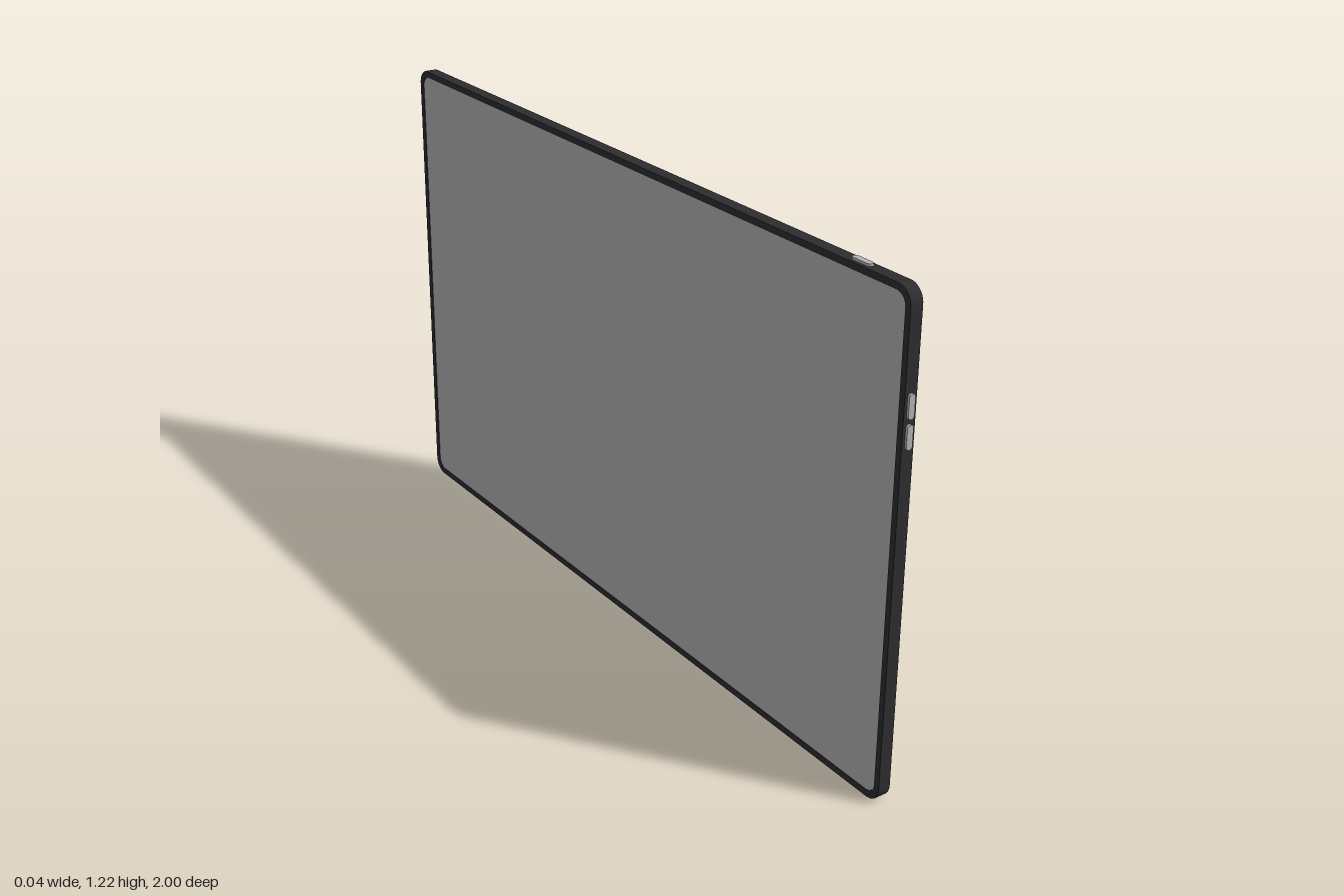
import * as THREE from 'three';

const H = 1.21; // slab height
const L = 1.988; // slab length along z

// Rounded rectangle centred on (cx, cy)
function roundedRect(Type, w, h, r, cx = 0, cy = 0) {
  const s = new Type();
  const x = w / 2 - r, y = h / 2 - r;
  s.absarc(cx + x, cy + y, r, 0, Math.PI / 2);
  s.absarc(cx - x, cy + y, r, Math.PI / 2, Math.PI);
  s.absarc(cx - x, cy - y, r, Math.PI, Math.PI * 1.5);
  s.absarc(cx + x, cy - y, r, Math.PI * 1.5, Math.PI * 2);
  s.closePath();
  return s;
}

export function createModel() {
  const black = new THREE.MeshStandardMaterial({ color: 0x2d2d30 });
  black.name = 'black casing';
  const grey = new THREE.MeshStandardMaterial({ color: 0xb2b2b5 });
  grey.name = 'light grey';

  const model = new THREE.Group();
  model.name = 'foldingTablet';
  const slab = new THREE.Group();
  slab.name = 'slab';
  model.add(slab);

  // Plate in the zy plane, spanning x0 to x1
  function plate(name, shape, x0, x1, material, bevel = 0) {
    const geo = new THREE.ExtrudeGeometry(shape, {
      depth: x1 - x0 - 2 * bevel, curveSegments: 8,
      bevelEnabled: bevel > 0, bevelThickness: bevel, bevelSize: bevel,
      bevelOffset: -bevel, bevelSegments: 2,
    });
    geo.translate(0, 0, x0 + bevel);
    geo.rotateY(Math.PI / 2);
    const mesh = new THREE.Mesh(geo, material);
    mesh.name = name;
    slab.add(mesh);
    return mesh;
  }

  // Outer rim, open in the middle
  const rim = roundedRect(THREE.Shape, L, H, 0.04);
  rim.holes.push(roundedRect(THREE.Path, L - 0.034, H - 0.034, 0.028));
  plate('rim', rim, -0.0165, 0.0165, black, 0.002);

  // Panel seen on both sides, set back behind the rim
  plate('innerPanel', roundedRect(THREE.Shape, L - 0.033, H - 0.033, 0.028), -0.0145, 0.008, grey);

  // Raised centre cover with a thin dark seam around it
  const coverZ = 0.015, coverWidth = 0.592;
  plate('coverSeam', roundedRect(THREE.Shape, coverWidth + 0.006, H - 0.002, 0.03, -coverZ), 0.007, 0.0168, black);
  plate('centreCover', roundedRect(THREE.Shape, coverWidth, H - 0.004, 0.028, -coverZ), 0.008, 0.0174, grey);

  // Small rounded button; its face points along +z before turning
  function button(name, length, y, z, turn) {
    const geo = new THREE.ExtrudeGeometry(roundedRect(THREE.Shape, 0.016, length, 0.0075), {
      depth: 0.008, curveSegments: 6, bevelEnabled: false,
    });
    geo.translate(0, 0, -0.002);
    const mesh = new THREE.Mesh(geo, grey);
    mesh.name = name;
    mesh.position.set(-0.001, y, z);
    mesh.rotation.set(...turn);
    slab.add(mesh);
  }
  const mid = H / 2;
  button('upperFrontButton', 0.056, 0.957 - mid, L / 2, [0, 0, 0]);
  button('lowerFrontButton', 0.056, 0.889 - mid, L / 2, [0, 0, 0]);
  button('backButton', 0.08, 0.89 - mid, -L / 2, [0, Math.PI, 0]);
  button('topButton', 0.058, mid, 0.83, [-Math.PI / 2, 0, 0]);

  // The slab leans and turns very slightly
  slab.position.set(-0.001, mid, 0);
  slab.rotation.set(0, -0.003, -0.002);
  return model;
}
